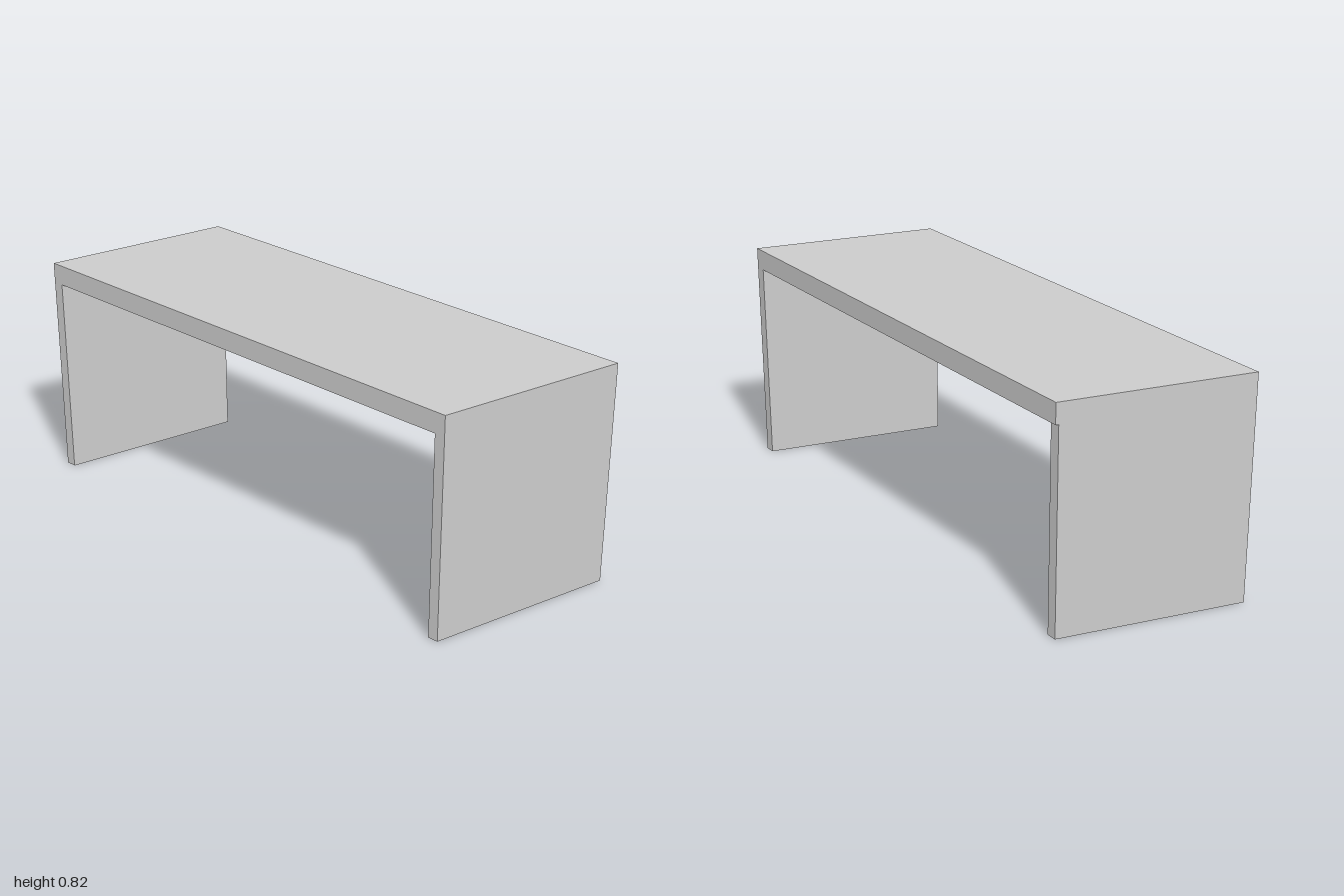
import * as THREE from 'three';

const HEIGHT = 0.825, TOP_THICKNESS = 0.075, HALF_DEPTH = 0.332;
const HALF_WIDTH = 0.909, LEG_THICKNESS = 0.038;
const SLANT = -0.274; // sideways shift in x per unit of z

// Slab with a parallelogram footprint: a box sheared in x along z
function slantedSlab(name, x0, x1, y0, y1, z0, z1, material) {
  const geometry = new THREE.BoxGeometry(x1 - x0, y1 - y0, z1 - z0);
  geometry.translate((x0 + x1) / 2, (y0 + y1) / 2, (z0 + z1) / 2);
  const shear = new THREE.Matrix4().set(
    1, 0, SLANT, 0,
    0, 1, 0, 0,
    0, 0, 1, 0,
    0, 0, 0, 1
  );
  geometry.applyMatrix4(shear);
  geometry.computeVertexNormals();
  const mesh = new THREE.Mesh(geometry, material);
  mesh.name = name;
  return mesh;
}

export function createModel() {
  const group = new THREE.Group();
  group.name = 'slantedBench';
  const material = new THREE.MeshStandardMaterial({ color: 0xcccccc, flatShading: true });
  const legTop = HEIGHT - TOP_THICKNESS;

  // Thick top board
  group.add(slantedSlab('top', -HALF_WIDTH, HALF_WIDTH, legTop, HEIGHT,
    -HALF_DEPTH, HALF_DEPTH, material));

  // Panel legs; the right one stops just short of the back edge
  group.add(slantedSlab('leftLeg', HALF_WIDTH - LEG_THICKNESS, HALF_WIDTH, 0, legTop,
    -HALF_DEPTH, HALF_DEPTH, material));
  group.add(slantedSlab('rightLeg', -HALF_WIDTH, -HALF_WIDTH + LEG_THICKNESS, 0, legTop,
    -HALF_DEPTH + 0.01, HALF_DEPTH, material));

  return group;
}
